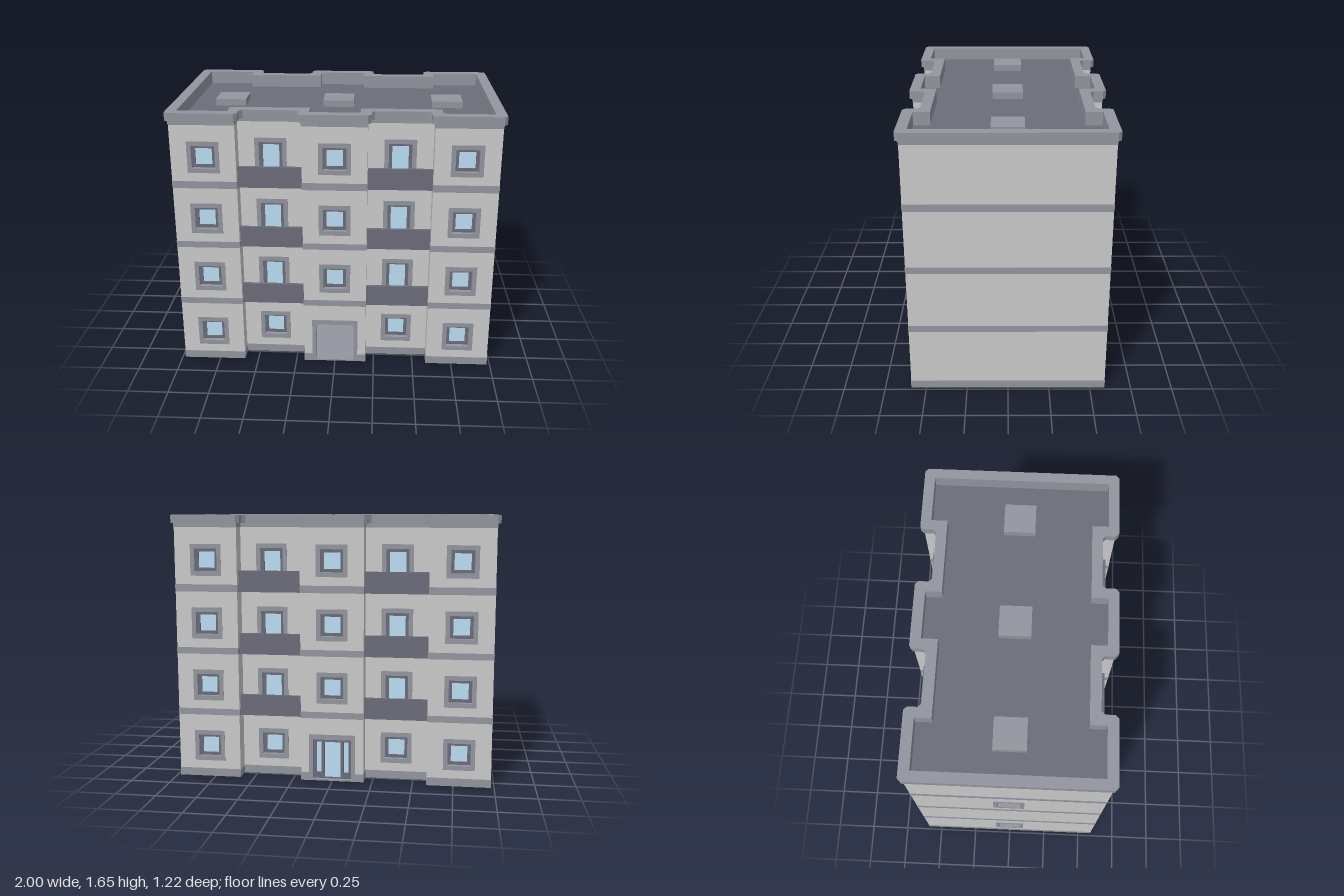
import * as THREE from 'three';

const paint = (color) => new THREE.MeshStandardMaterial({ color });
const wallMat = paint(0xcccccc);
const trimMat = paint(0x93969f);
const darkMat = paint(0x6b6d7a);
const glassMat = paint(0xbbdff5);

const BAY = 0.392, STOREY = 0.392, TOP = 1.6, THICK = 0.04;
const OUT_Z = 0.59, IN_Z = 0.49, HALF_X = 0.98;
const BANDS = [[0, 0.05], [0.4, 0.44], [0.79, 0.83], [1.18, 1.225]];

function mesh(name, geometry, material, parent) {
  const m = new THREE.Mesh(geometry, material);
  m.name = name;
  parent.add(m);
  return m;
}

// Box given by its lower and upper corners
function block(name, [x0, y0, z0], [x1, y1, z1], material, parent) {
  const m = mesh(name, new THREE.BoxGeometry(x1 - x0, y1 - y0, z1 - z0), material, parent);
  m.position.set((x0 + x1) / 2, (y0 + y1) / 2, (z0 + z1) / 2);
  return m;
}

const rect = (Type, [x0, y0, x1, y1]) => new Type(
  [[x0, y0], [x1, y0], [x1, y1], [x0, y1]].map(([x, y]) => new THREE.Vector2(x, y)));

// Upright panel with rectangular holes, between depths z0 and z1
function panel(name, outer, holes, z0, z1, material, parent) {
  const shape = rect(THREE.Shape, outer);
  shape.holes = holes.map((h) => rect(THREE.Path, h));
  const geometry = new THREE.ExtrudeGeometry(shape, { depth: z1 - z0, bevelEnabled: false });
  return mesh(name, geometry.translate(0, 0, z0), material, parent);
}

// Stepped floor outline, grown by d, with optional cut corners
function outline(d, cut = 0) {
  const a = 0.5 * BAY + d, b = 1.5 * BAY - d, x = HALF_X + d, zo = OUT_Z + d, zi = IN_Z + d;
  const side = [[x, zo], [b, zo], [b, zi], [a, zi], [a, zo], [-a, zo], [-a, zi], [-b, zi], [-b, zo], [-x, zo]];
  const pts = [...side, ...side.map(([px, pz]) => [-px, -pz])].map((p) => new THREE.Vector2(...p));
  if (!cut) return pts;
  return pts.flatMap((p, i) => [pts.at(i - 1), pts[(i + 1) % pts.length]].map(
    (q) => p.clone().add(q.clone().sub(p).setLength(cut))));
}

// Horizontal plate or ring following the outline
function plate(name, y0, y1, outer, inner, material, parent) {
  const shape = new THREE.Shape(outer);
  if (inner) shape.holes.push(new THREE.Path(inner));
  const geometry = new THREE.ExtrudeGeometry(shape, { depth: y1 - y0, bevelEnabled: false });
  return mesh(name, geometry.rotateX(-Math.PI / 2).translate(0, y0, 0), material, parent);
}

// Recessed window: flush surround, dark frame and glass
function addWindow(name, outer, opening, parent) {
  const [x0, y0, x1, y1] = opening, f = 0.02;
  const pane = [x0 + f, y0 + f, x1 - f, y1 - f];
  panel(name + 'Surround', outer, [opening], -THICK, 0.002, trimMat, parent);
  panel(name + 'Frame', opening, [pane], -THICK, -0.025, darkMat, parent);
  block(name + 'Glass', [pane[0], pane[1], -0.036], [pane[2], pane[3], -0.03], glassMat, parent);
}

function addDoor(parent) {
  const panes = [[-0.1, 0.05, -0.07, 0.245], [-0.05, 0.018, 0.05, 0.245], [0.07, 0.05, 0.1, 0.245]];
  panel('entranceDoorFrame', [-0.12, 0.008, 0.12, 0.265], panes, -THICK, -0.02, darkMat, parent);
  for (const [x0, y0, x1, y1] of panes) {
    block('entranceDoorGlass', [x0, y0, -0.033], [x1, y1, -0.027], glassMat, parent);
  }
}

// Wall facing +z; each storey's opening is 'window', 'balcony', 'entrance' or none
function wall(name, width, storeys, parent) {
  const g = new THREE.Group();
  g.name = name;
  parent.add(g);
  const h = width / 2, holes = [];
  storeys.forEach((kind, k) => {
    const y = 0.2 + k * STOREY;
    if (kind === 'entrance') {
      const outer = [-0.145, 0.005, 0.145, 0.297];
      holes.push(outer);
      panel('entranceSurround', outer, [[-0.12, 0.008, 0.12, 0.265]], -THICK, 0.003, trimMat, g);
    } else if (kind) {
      const tall = kind === 'balcony';
      const base = tall ? BANDS[k][1] + 0.002 : y - 0.098;
      const outer = [-0.097, base, 0.097, y + 0.098];
      holes.push(outer);
      addWindow(tall ? 'balconyDoor' : 'window', outer, [-0.07, base + 0.028, 0.07, y + 0.07], g);
    }
    if (tallBalcony(kind)) addBalcony(BANDS[k][0], g);
  });
  panel('wallPanel', [-h, 0.002, h, TOP], holes, -THICK, 0, wallMat, g);
  BANDS.forEach(([y0, y1], k) => {
    const spans = storeys[k] === 'entrance' ? [[-h, -0.145], [0.145, h]] : [[-h, h]];
    for (const [a, b] of spans) block('floorBand', [a, y0, -0.036], [b, y1, 0.002], trimMat, g);
  });
  return g;
}

const tallBalcony = (kind) => kind === 'balcony';

function addBalcony(y, parent) {
  const h = BAY / 2 - 0.001;
  block('balconyFloor', [-h, y - 0.002, 0], [h, y + 0.02, 0.055], darkMat, parent);
  block('balconyFront', [-h, y - 0.002, 0.05], [h, y + 0.13, 0.07], darkMat, parent);
}

// Long facade: five bays, the second and fourth set back with balconies
function facade(name, parent) {
  const g = new THREE.Group();
  g.name = name;
  parent.add(g);
  for (let i = -2; i <= 2; i++) {
    const setBack = Math.abs(i) === 1;
    const upper = setBack ? 'balcony' : 'window';
    const bay = wall(setBack ? 'balconyBay' : 'projectingBay', BAY,
      [i === 0 ? 'entrance' : 'window', upper, upper, upper], g);
    bay.position.set(i * BAY, 0, setBack ? IN_Z : OUT_Z);
    if (!setBack) continue;
    // return walls on both sides of the set-back bay
    for (const s of [-1, 1]) {
      const r = wall('returnWall', OUT_Z - IN_Z, [], g);
      r.position.set((i + s / 2) * BAY, 0, (OUT_Z + IN_Z) / 2);
      r.rotation.y = -s * Math.PI / 2;
    }
  }
  return g;
}

export function createModel() {
  const model = new THREE.Group();
  model.name = 'apartmentBlock';

  // Long sides: open passage at the front, glazed door at the back
  facade('frontFacade', model);
  const back = facade('backFacade', model);
  back.rotation.y = Math.PI;
  const door = new THREE.Group();
  door.name = 'entranceDoor';
  door.position.z = OUT_Z;
  addDoor(door);
  back.add(door);

  // End walls
  const left = wall('leftEndWall', 2 * OUT_Z, [], model);
  left.position.x = HALF_X;
  left.rotation.y = Math.PI / 2;
  const right = wall('rightEndWall', 2 * OUT_Z, ['window', null, 'window', null], model);
  right.position.x = -HALF_X;
  right.rotation.y = -Math.PI / 2;

  // Ground slab, roof and parapet
  plate('groundSlab', 0, 0.01, outline(0.001), null, trimMat, model);
  plate('roof', 1.54, 1.568, outline(-0.02), null, darkMat, model);
  plate('corniceBand', 1.575, TOP, outline(0.002), outline(-0.045), trimMat, model);
  plate('parapetFoot', 1.56, 1.575, outline(-0.01), outline(-0.045), trimMat, model);
  plate('parapet', TOP, 1.65, outline(0.02, 0.02), outline(-0.045), trimMat, model);

  // Roof hatches
  for (const x of [-0.69, 0, 0.69]) {
    block('roofHatch', [x - 0.097, 1.56, -0.097], [x + 0.097, 1.61, 0.097], trimMat, model);
  }
  return model;
}
